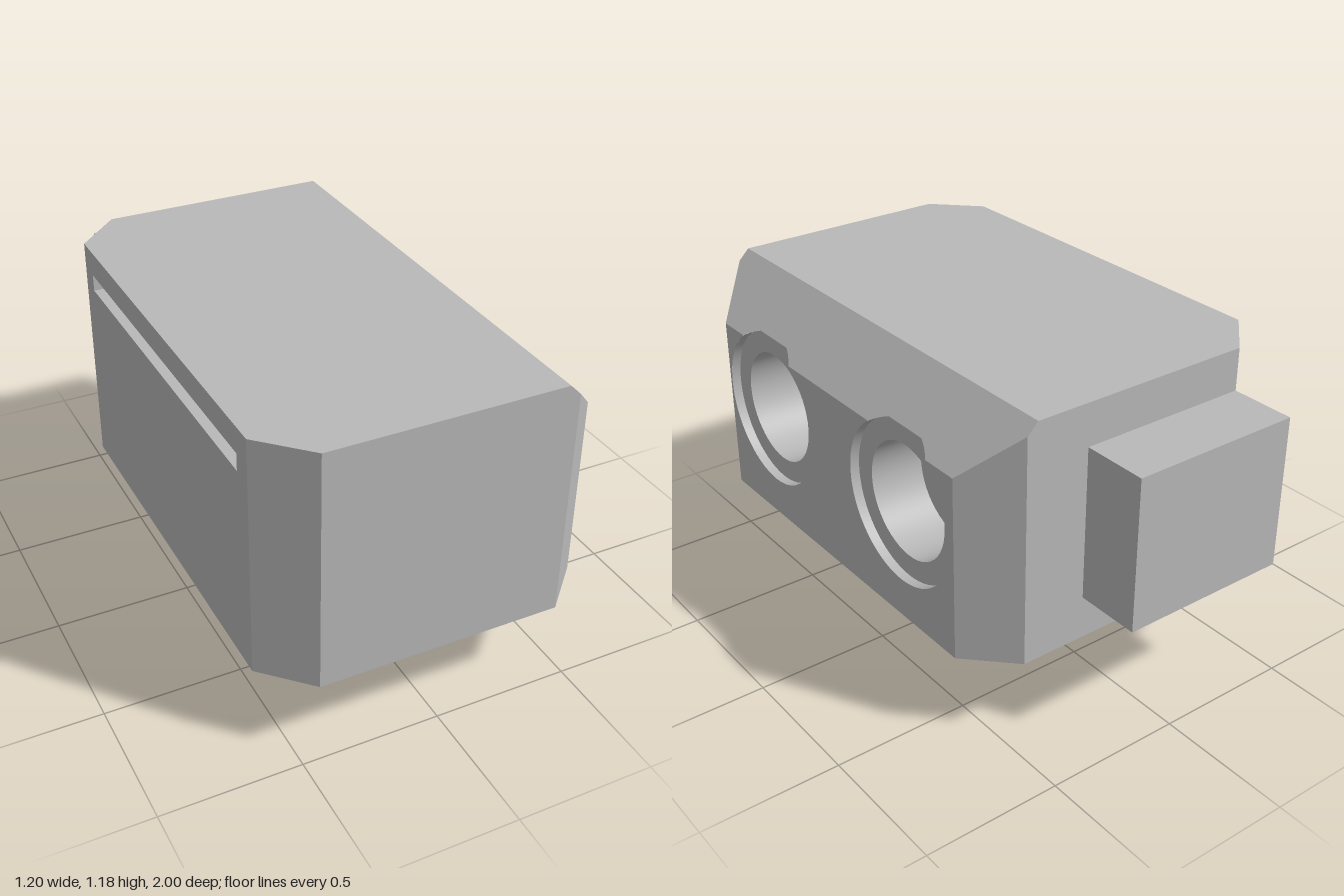
import * as THREE from 'three';

const grey = new THREE.MeshStandardMaterial({ color: 0xb8b8b8 });
grey.name = 'grey';

// Body limits and the two round sockets on the left-hand (+x) side
const BOT = 0.31, TOP = 1.185, SIDE = 0.985, FRONT = 1, BACK = -0.76;
const EYE_Y = 0.745, EYES = [0.54, -0.295], R_OUT = 0.29, R_IN = 0.21;
const RECESS_X = 0.565, FLOOR_X = 0.365;
const bevelX = (y) => Math.min(0.6, 0.6 + SIDE - y);
const aFace = Math.acos((SIDE - EYE_Y) / R_OUT);                    // rim meets the bevel
const aFloor = Math.acos((0.6 + SIDE - RECESS_X - EYE_Y) / R_OUT);  // recess floor meets the bevel

export function createModel() {
  const group = new THREE.Group();

  const add = (name, geometry) => {
    const mesh = new THREE.Mesh(geometry, grey);
    mesh.name = name;
    group.add(mesh);
    return mesh;
  };

  // Flat panel: 2D outline placed in space by map(u, v), turned to face "out"
  const panel = (name, pts, map, out, hole) => {
    const shape = new THREE.Shape(pts.map((p) => new THREE.Vector2(...p)));
    if (hole) shape.holes.push(new THREE.Path(hole.map((p) => new THREE.Vector2(...p))));
    const g = new THREE.ShapeGeometry(shape);
    const pos = g.attributes.position;
    for (let i = 0; i < pos.count; i++) pos.setXYZ(i, ...map(pos.getX(i), pos.getY(i)));
    g.computeVertexNormals();
    const n = new THREE.Vector3().fromBufferAttribute(g.attributes.normal, 0);
    if (n.dot(new THREE.Vector3(...out)) < 0) {
      g.setIndex(Array.from(g.index.array).reverse());
      g.computeVertexNormals();
    }
    add(name, g);
  };

  // Points (z, y) on a circle; the angle runs from straight up towards +z
  const arc = (c, r, from, to, n = 48) => Array.from({ length: n + 1 }, (_, i) => {
    const t = from + ((to - from) * i) / n;
    return [c + r * Math.sin(t), EYE_Y + r * Math.cos(t)];
  });

  // Inward-facing round wall from x = inner out to x = outer(y)
  const wall = (name, pts, inner, outer) => {
    const v = [], idx = [];
    pts.forEach(([z, y], i) => {
      v.push(inner, y, z, outer(y), y, z);
      const a = i * 2;
      if (i < pts.length - 1) idx.push(a, a + 1, a + 2, a + 1, a + 3, a + 2);
    });
    const g = new THREE.BufferGeometry();
    g.setAttribute('position', new THREE.Float32BufferAttribute(v, 3));
    g.setIndex(idx);
    g.computeVertexNormals();
    add(name, g);
  };

  // Top and bottom
  panel('bodyTop', [[-0.44, FRONT], [0.4, FRONT], [0.4, BACK], [-0.44, BACK], [-0.6, -0.6], [-0.6, 0.84]],
    (x, z) => [x, TOP, z], [0, 1, 0]);
  panel('bodyBottom', [[-0.44, FRONT], [0.44, FRONT], [0.6, 0.84], [0.6, -0.6],
    [0.44, BACK], [-0.44, BACK], [-0.6, -0.6], [-0.6, 0.84]],
    (x, z) => [x, BOT, z], [0, -1, 0]);

  // Front and back faces with their bevelled upright corners
  for (const [name, z0, s] of [['front', FRONT, 1], ['back', BACK, -1]]) {
    panel(name + 'Face', [[-0.44, BOT], [0.44, BOT], [0.44, 1.145], [0.4, TOP], [-0.44, TOP]],
      (x, y) => [x, y, z0], [0, 0, s]);
    const slope = (x, y) => [x, y, z0 - s * (Math.abs(x) - 0.44)];
    panel(name + 'RightCorner', [[-0.6, BOT], [-0.44, BOT], [-0.44, TOP], [-0.6, TOP]], slope, [-1, 0, s]);
    panel(name + 'LeftCorner', [[0.44, BOT], [0.6, BOT], [0.6, SIDE], [0.44, 1.145]], slope, [1, 0, s]);
  }

  // Socket side and the sloped bevel above it, both bitten by the recesses
  panel('socketSide', [[-0.6, BOT], [0.84, BOT], [0.84, SIDE],
    ...EYES.flatMap((c) => arc(c, R_OUT, aFace, 2 * Math.PI - aFace)), [-0.6, SIDE]],
    (z, y) => [0.6, y, z], [1, 0, 0]);
  panel('topBevel', [[-0.6, SIDE],
    ...[...EYES].reverse().flatMap((c) => [
      ...arc(c, R_OUT, -aFace, -aFloor, 6), ...arc(c, R_OUT, aFloor, aFace, 6)]),
    [0.84, SIDE], [FRONT, 1.145], [FRONT, TOP], [BACK, TOP], [BACK, 1.145]],
    (z, y) => [0.6 + SIDE - y, y, z], [1, 1, 0]);

  // Sockets: shallow recess, then a deeper round hole
  for (const c of EYES) {
    const rim = arc(c, R_OUT, aFloor, 2 * Math.PI - aFloor, 64);
    const bore = arc(c, R_IN, 0, 2 * Math.PI, 48);
    const disc = bore.slice(0, -1);
    wall('recessWall', rim, RECESS_X, bevelX);
    panel('recessFloor', rim, (z, y) => [RECESS_X, y, z], [1, 0, 0], disc);
    wall('holeWall', bore, FLOOR_X, () => RECESS_X);
    panel('holeFloor', disc, (z, y) => [FLOOR_X, y, z], [1, 0, 0]);
  }

  // Opposite side with a long thin slot
  const [z0, z1, y0, y1, depth] = [-0.525, 0.765, 1.03, 1.092, 0.2];
  panel('slotSide', [[-0.6, BOT], [0.84, BOT], [0.84, TOP], [-0.6, TOP]],
    (z, y) => [-0.6, y, z], [-1, 0, 0], [[z0, y0], [z1, y0], [z1, y1], [z0, y1]]);

  // Slot lining: a box turned inside out, without its outer face
  const box = new THREE.BoxGeometry(depth, y1 - y0, z1 - z0);
  const faces = Array.from(box.index.array);
  faces.splice(6, 6);
  box.setIndex(faces.reverse());
  box.clearGroups();
  box.computeVertexNormals();
  add('slotLining', box).position.set(-0.6 + depth / 2, (y0 + y1) / 2, (z0 + z1) / 2);

  // Blocks on the back and underneath
  add('backBlock', new THREE.BoxGeometry(0.64, 0.56, 0.24)).position.set(-0.12, 0.75, -0.88);
  add('footBlock', new THREE.BoxGeometry(0.46, 0.31, 0.465)).position.set(-0.04, 0.155, 0.1225);

  return group;
}
